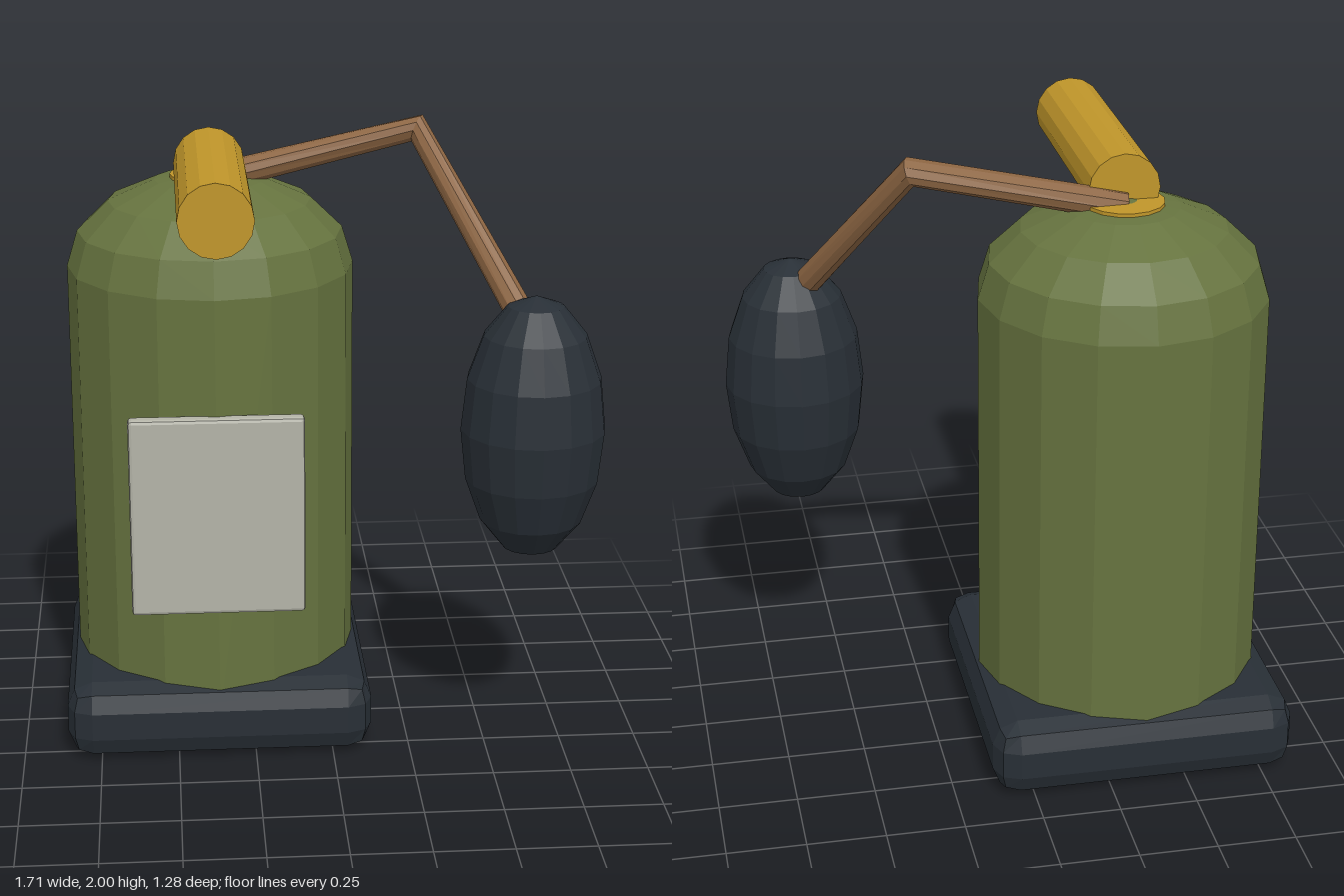
import * as THREE from 'three';
import { RoundedBoxGeometry } from 'three/addons/geometries/RoundedBoxGeometry.js';

const mat = (color) => new THREE.MeshStandardMaterial({ color, flatShading: true });

// Two straight runs meeting in a sharp elbow
class Elbow extends THREE.Curve {
  constructor(a, b, c) {
    super();
    this.points = [a, b, c];
    this.first = b.clone().sub(a).normalize();
    this.second = c.clone().sub(b).normalize();
  }
  getPoint(t, target = new THREE.Vector3()) {
    const [a, b, c] = this.points;
    return t <= 0.5 ? target.lerpVectors(a, b, t * 2) : target.lerpVectors(b, c, t * 2 - 1);
  }
  getPointAt(t, target) { return this.getPoint(t, target); }
  getTangentAt(t, target = new THREE.Vector3()) {
    if (t === 0.5) return target.addVectors(this.first, this.second).normalize();
    return target.copy(t < 0.5 ? this.first : this.second);
  }
}

export function createModel() {
  const model = new THREE.Group();
  const green = mat(0x66733f), dark = mat(0x282f36), gold = mat(0xc0962a);
  const brown = mat(0x8c6542), pale = mat(0xb4b4a8);
  const X = -0.365, Z = -0.15;

  function add(name, geometry, material, x, y, z) {
    const mesh = new THREE.Mesh(geometry, material);
    mesh.name = name;
    mesh.position.set(x, y, z);
    model.add(mesh);
    return mesh;
  }

  // Bevelled square foot
  add('base', new RoundedBoxGeometry(0.985, 0.25, 0.985, 1, 0.08), dark, X, 0.125, Z);

  // Bottle with a domed shoulder
  add('body', new THREE.CylinderGeometry(0.46, 0.46, 1.38, 16, 1, true), green, X, 0.84, Z);
  const dome = new THREE.SphereGeometry(0.46, 16, 4, 0, Math.PI * 2, 0, Math.PI / 2);
  dome.scale(1, 0.3 / 0.46, 1);
  add('shoulder', dome, green, X, 1.53, Z);

  // Front label plate
  add('label', new RoundedBoxGeometry(0.55, 0.65, 0.052, 1, 0.012), pale, X, 0.833, 0.313);

  // Collar and forward spray nozzle
  add('collar', new THREE.CylinderGeometry(0.126, 0.126, 0.05, 16), gold, X, 1.8, Z);
  add('nozzle', new THREE.CylinderGeometry(0.113, 0.113, 0.79, 16), gold, X, 1.86, 0.245)
    .rotation.x = Math.PI / 2;

  // Bent hose leading to the squeeze bulb
  const hose = new Elbow(
    new THREE.Vector3(X, 1.805, Z),
    new THREE.Vector3(0.3, 1.96, Z),
    new THREE.Vector3(0.61, 1.41, 0.3)
  );
  add('hose', new THREE.TubeGeometry(hose, 2, 0.046, 10, false), brown, 0, 0, 0);
  brown.side = THREE.DoubleSide;

  // Squeeze bulb
  const bulb = new THREE.SphereGeometry(0.228, 16, 8);
  bulb.scale(1, 0.427 / 0.228, 1);
  add('bulb', bulb, dark, 0.625, 1.102, 0.312);

  return model;
}
